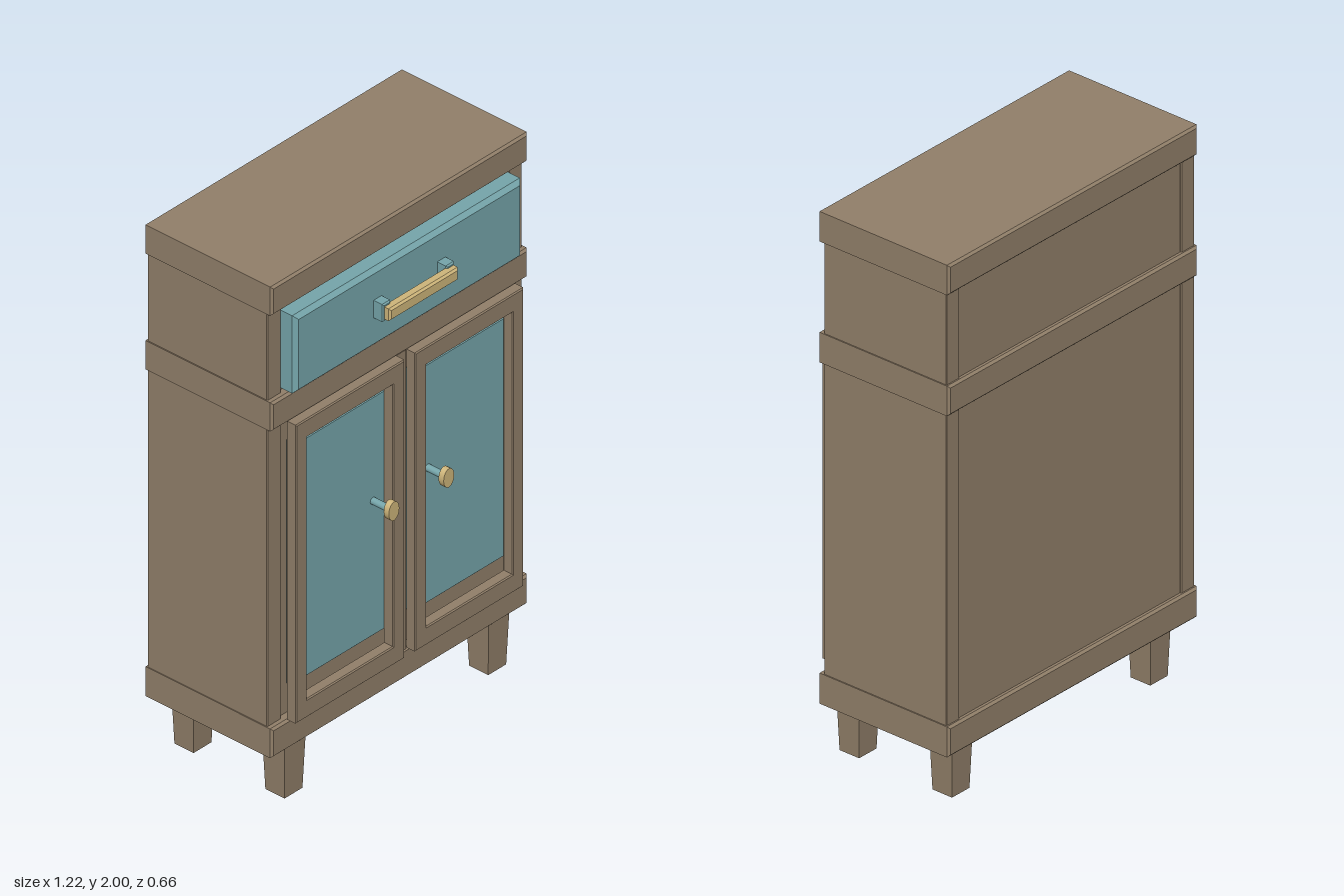
import * as THREE from 'three';

const material = (name, color) => {
  const m = new THREE.MeshStandardMaterial({ color });
  m.name = name;
  return m;
};

const rect = (Type, x0, x1, y0, y1) => {
  const r = new Type();
  r.moveTo(x0, y0);
  r.lineTo(x1, y0);
  r.lineTo(x1, y1);
  r.lineTo(x0, y1);
  r.closePath();
  return r;
};

// Board between two corners with chamfered edges and an optional opening
function board([x0, x1], [y0, y1], [z0, z1], bevel = 0.006, hole = null) {
  const shape = rect(THREE.Shape, x0, x1, y0, y1);
  if (hole) shape.holes.push(rect(THREE.Path, ...hole));
  const geo = new THREE.ExtrudeGeometry(shape, {
    depth: z1 - z0 - 2 * bevel, bevelEnabled: bevel > 0, bevelThickness: bevel,
    bevelSize: bevel, bevelOffset: -bevel, bevelSegments: 1,
  });
  return geo.translate(0, 0, z0 + bevel);
}

export function createModel() {
  const wood = material('brown wood', 0x92806a);
  const paint = material('teal paint', 0x76a6ab);
  const brass = material('pale brass', 0xcfb67b);
  const model = new THREE.Group();
  model.name = 'cabinet';
  const add = (name, geo, mat, parent = model) => {
    const mesh = new THREE.Mesh(geo, mat);
    mesh.name = name;
    parent.add(mesh);
    return mesh;
  };

  // Carcass: core, corner stiles and three projecting rails
  add('core', board([-0.56, 0.56], [0.22, 1.98], [-0.31, 0.19], 0), wood);
  for (const s of [-1, 1]) {
    const xs = s > 0 ? [0.54, 0.604] : [-0.604, -0.54];
    add('sidePanel', board(xs, [0.21, 1.99], [-0.315, 0.202], 0.003), wood);
  }
  const rails = { bottomRail: [0.2, 0.312], middleRail: [1.448, 1.558], topRail: [1.89, 2] };
  for (const [name, ys] of Object.entries(rails)) {
    add(name, board([-0.608, 0.608], ys, [-0.328, 0.225], 0.008), wood);
  }
  add('centreStile', board([-0.035, 0.035], [0.305, 1.455], [0.18, 0.222], 0.004), wood);

  // Drawer front with pull handle
  const drawer = new THREE.Group();
  drawer.name = 'drawer';
  model.add(drawer);
  add('drawerFront', board([-0.54, 0.54], [1.575, 1.872], [0.18, 0.265], 0.015), paint, drawer);
  for (const s of [-1, 1]) {
    const xs = s > 0 ? [0.132, 0.17] : [-0.17, -0.132];
    add('handlePost', board(xs, [1.69, 1.757], [0.255, 0.306], 0.005), paint, drawer);
  }
  add('handleBar', board([-0.164, 0.164], [1.7, 1.747], [0.292, 0.33], 0.007), brass, drawer);

  // Mirrored doors: frame, inset panel and knob
  for (const s of [-1, 1]) {
    const door = new THREE.Group();
    door.name = s > 0 ? 'leftDoor' : 'rightDoor';
    model.add(door);
    const span = (a, b) => (s > 0 ? [a, b] : [-b, -a]);
    add('doorFrame', board(span(0.025, 0.54), [0.32, 1.46], [0.225, 0.268], 0.004,
      [...span(0.08, 0.487), 0.39, 1.39]), wood, door);
    add('doorPanel', board(span(0.06, 0.507), [0.43, 1.36], [0.185, 0.226], 0.012), paint, door);
    const stem = add('knobStem', new THREE.CylinderGeometry(0.013, 0.013, 0.08, 12), paint, door);
    stem.rotation.x = Math.PI / 2;
    stem.position.set(s * 0.13, 0.955, 0.258);
    const knob = add('knob', new THREE.CylinderGeometry(0.025, 0.025, 0.022, 20), brass, door);
    knob.rotation.x = Math.PI / 2;
    knob.scale.z = 1.42;
    knob.position.set(s * 0.13, 0.955, 0.306);
  }

  // Four tapered square legs
  const legGeo = new THREE.BoxGeometry(0.1, 0.21, 0.097);
  const p = legGeo.attributes.position;
  for (let i = 0; i < p.count; i++) {
    if (p.getY(i) < 0) p.setXYZ(i, p.getX(i) * 0.85, p.getY(i), p.getZ(i) * 0.85);
  }
  legGeo.computeVertexNormals();
  for (const x of [-0.483, 0.483]) {
    for (const z of [0.163, -0.229]) add('leg', legGeo, wood).position.set(x, 0.105, z);
  }
  return model;
}
